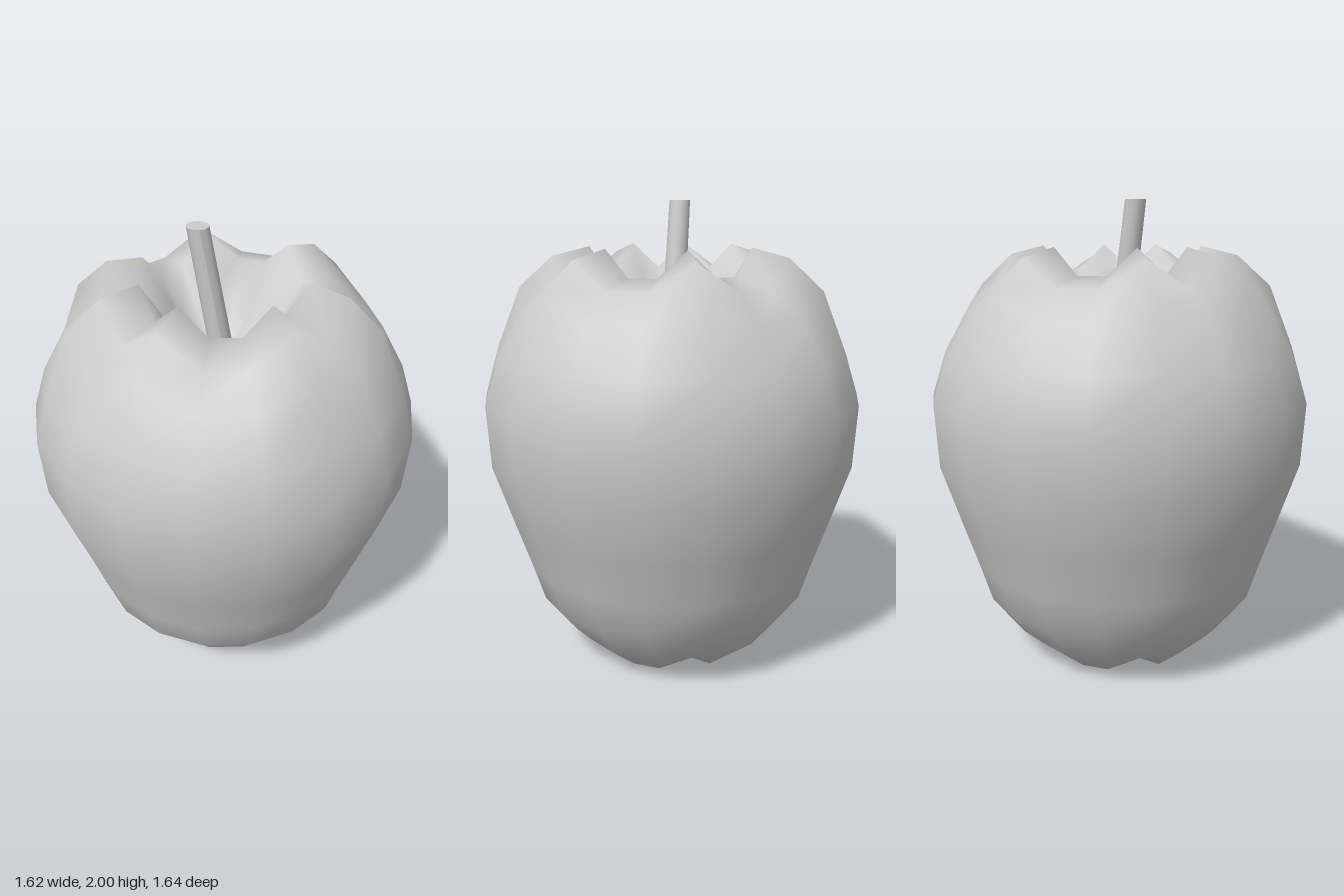
import * as THREE from 'three';

const SIDES = 18;
// Lobe pattern around the fruit, starting at the front and turning to +x
const RIDGES = [1, 3, 6, 9, 12, 14, 16];

// Rings from the stem hollow over the shoulder to the base hollow:
// [radius, height in a groove, extra height on a ridge]
const PROFILE = [
  [0.06, 1.37, 0],
  [0.1, 1.42, 0],
  [0.22, 1.53, 0.06],
  [0.35, 1.7, 0.11],
  [0.51, 1.66, 0.11],
  [0.655, 1.55, 0.09],
  [0.76, 1.36, 0.02],
  [0.82, 1.175, 0],
  [0.805, 0.91, 0],
  [0.72, 0.65, 0],
  [0.65, 0.44, 0],
  [0.6, 0.28, 0],
  [0.46, 0.1, 0.02],
  [0.335, 0, 0.06],
  [0.2, 0.11, 0.05],
  [0.08, 0.25, 0],
];

function fruitGeometry() {
  const positions = [];
  const indices = [];
  for (const [r, y, lift] of PROFILE) {
    for (let i = 0; i < SIDES; i++) {
      const a = (i / SIDES) * Math.PI * 2;
      positions.push(r * Math.sin(a), y + (RIDGES.includes(i) ? lift : 0), r * Math.cos(a));
    }
  }
  // Centre points closing both hollows
  const top = PROFILE.length * SIDES;
  positions.push(0, 1.3, 0, 0, 0.3, 0);
  const last = (PROFILE.length - 1) * SIDES;
  for (let i = 0; i < SIDES; i++) {
    const j = (i + 1) % SIDES;
    for (let k = 0; k < last; k += SIDES) {
      const a = k + i, b = k + j, c = a + SIDES, d = b + SIDES;
      indices.push(a, c, b, b, c, d);
    }
    indices.push(top, i, j, top + 1, last + j, last + i);
  }
  const geo = new THREE.BufferGeometry();
  geo.setAttribute('position', new THREE.Float32BufferAttribute(positions, 3));
  geo.setIndex(indices);
  geo.computeVertexNormals();
  return geo;
}

function stemGeometry() {
  const bottom = 1.3, height = 0.7;
  const geo = new THREE.CylinderGeometry(0.045, 0.052, height, 12, 2);
  geo.translate(0, bottom + height / 2, 0);
  // Lean towards -x while keeping the cut end level
  const p = geo.attributes.position;
  for (let i = 0; i < p.count; i++) {
    p.setX(i, p.getX(i) + 0.015 - ((p.getY(i) - bottom) / height) * 0.117);
  }
  geo.computeVertexNormals();
  return geo;
}

export function createModel() {
  const group = new THREE.Group();
  group.name = 'apple';
  const material = new THREE.MeshStandardMaterial({ color: 0xcccccc });
  const parts = { fruit: fruitGeometry(), stem: stemGeometry() };
  for (const [name, geometry] of Object.entries(parts)) {
    const mesh = new THREE.Mesh(geometry, material);
    mesh.name = name;
    group.add(mesh);
  }
  return group;
}
